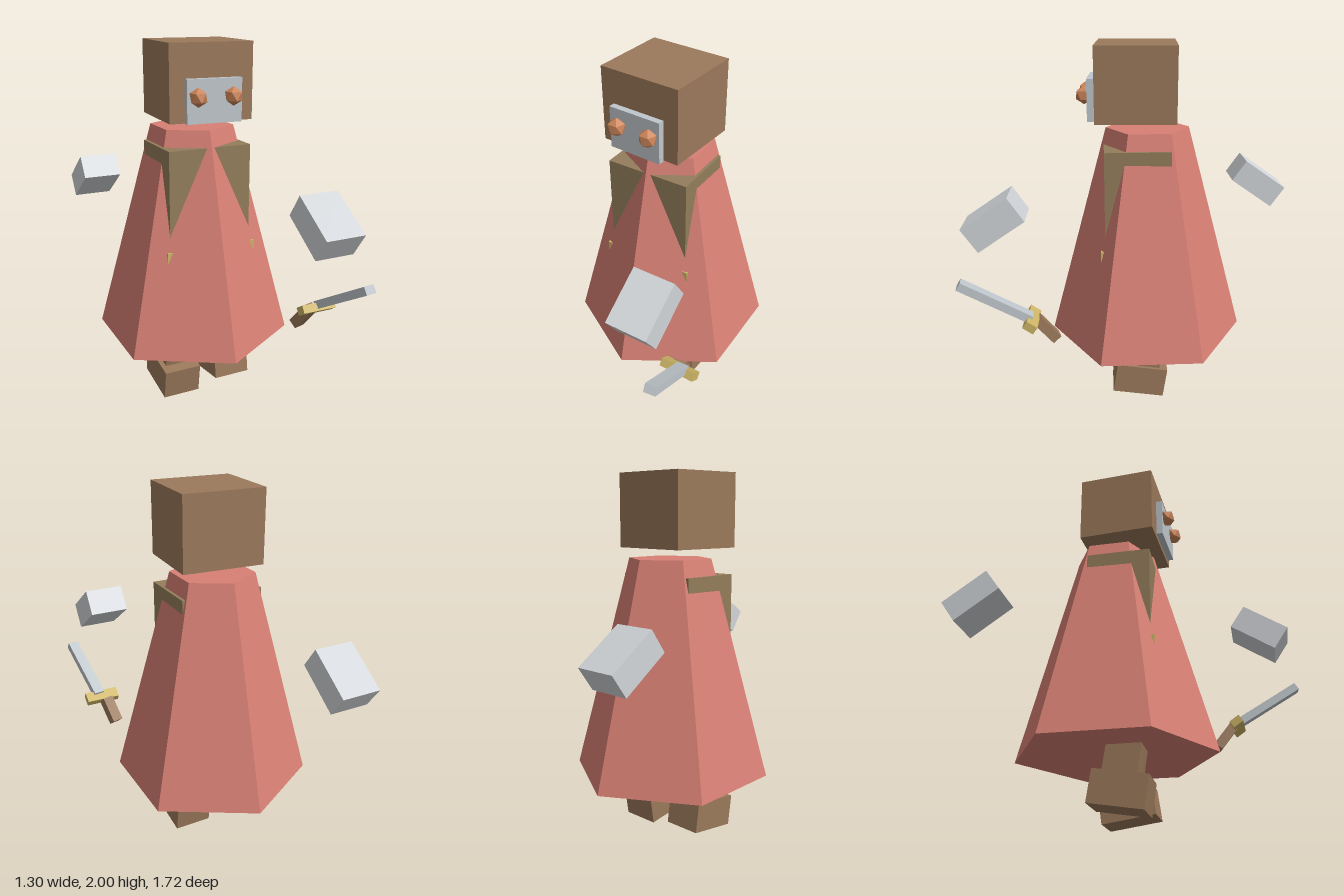
import * as THREE from 'three';

const mat = (name, color) => {
  const m = new THREE.MeshStandardMaterial({ color });
  m.name = name;
  return m;
};

export function createModel() {
  const model = new THREE.Group();
  model.name = 'cloakedFigure';

  const brown = mat('brown', 0x9b795b);
  const tunic = mat('oliveBrown', 0x937d5b);
  const cloth = mat('salmonRed', 0xd88074);
  const glove = mat('lightGrey', 0xd2d5d9);
  const steel = mat('steel', 0xc0c7cc);
  const gold = mat('gold', 0xcdb566);
  const copper = mat('copper', 0xcc8559);

  const add = (parent, name, geometry, material, position, yaw = 0, pitch = 0) => {
    const mesh = new THREE.Mesh(geometry, material);
    mesh.name = name;
    mesh.position.set(...position);
    mesh.rotation.set(pitch, yaw, 0, 'YXZ');
    parent.add(mesh);
    return mesh;
  };
  const box = (w, h, d) => new THREE.BoxGeometry(w, h, d);

  // a bar running from point a to point b
  const bar = (parent, name, w, h, material, a, b) => {
    const from = new THREE.Vector3(...a), to = new THREE.Vector3(...b);
    const mid = from.clone().lerp(to, 0.5);
    const mesh = add(parent, name, box(w, h, from.distanceTo(to)), material, mid.toArray());
    mesh.lookAt(to);
  };

  // the whole body is turned a little towards its left
  const yaw = 0.163;

  // head with face plate and faceted eyes
  const head = new THREE.Group();
  head.name = 'head';
  head.position.set(-0.036, 1.8, 0.002);
  head.rotation.y = 0.1;
  model.add(head);
  add(head, 'skull', box(0.457, 0.4, 0.43), brown, [0, 0, 0]);
  add(head, 'facePlate', box(0.3, 0.225, 0.035), steel, [0, -0.0875, 0.241]);
  const eye = new THREE.IcosahedronGeometry(0.05, 0);
  eye.rotateX(-Math.atan((1 + Math.sqrt(5)) / 2)).rotateY(Math.PI / 5);
  for (const s of [-1, 1]) add(head, s > 0 ? 'leftEye' : 'rightEye', eye, copper, [s * 0.096, -0.065, 0.275]);

  // six-sided cloak
  const cone = new THREE.CylinderGeometry(0.23, 0.556, 1.21, 6).toNonIndexed();
  cone.computeVertexNormals();
  add(model, 'cloak', cone, cloth, [-0.047, 0.94, -0.058], 0.167);

  // torso and belt, showing through the cloak at the corners
  add(model, 'torso', box(0.476, 0.835, 0.357), tunic, [-0.0375, 1.0375, 0.005], yaw);
  add(model, 'belt', box(0.525, 0.1, 0.405), gold, [-0.0375, 0.86, 0.005], yaw);

  // legs in mid stride
  for (const s of [-1, 1]) {
    const leg = new THREE.Group();
    leg.name = s > 0 ? 'leftLeg' : 'rightLeg';
    leg.position.set(-0.037 + s * 0.161, 0.107, 0.004 - s * 0.039);
    leg.rotation.set(-s * 0.15, yaw, 0, 'YXZ');
    model.add(leg);
    add(leg, 'boot', box(0.215, 0.171, 0.29), brown, [0, 0, 0]);
    add(leg, 'shin', box(0.17, 0.45, 0.18), brown, [0.005, 0.27, -0.01]);
  }

  // floating gloves
  add(model, 'rightGlove', box(0.225, 0.143, 0.295), glove, [-0.512, 1.137, -0.687], yaw, -0.61);
  add(model, 'leftGlove', box(0.225, 0.15, 0.292), glove, [0.438, 1.145, 0.68], yaw, 0.59);

  // sword
  const sword = new THREE.Group();
  sword.name = 'sword';
  model.add(sword);
  bar(sword, 'blade', 0.064, 0.045, steel, [0.515, 0.628, 0.495], [0.612, 0.845, 0.84]);
  bar(sword, 'grip', 0.066, 0.055, brown, [0.475, 0.602, 0.475], [0.435, 0.477, 0.385]);
  add(sword, 'guard', box(0.2, 0.045, 0.065), gold, [0.498, 0.61, 0.497], 0.14, -0.6);

  return model;
}
